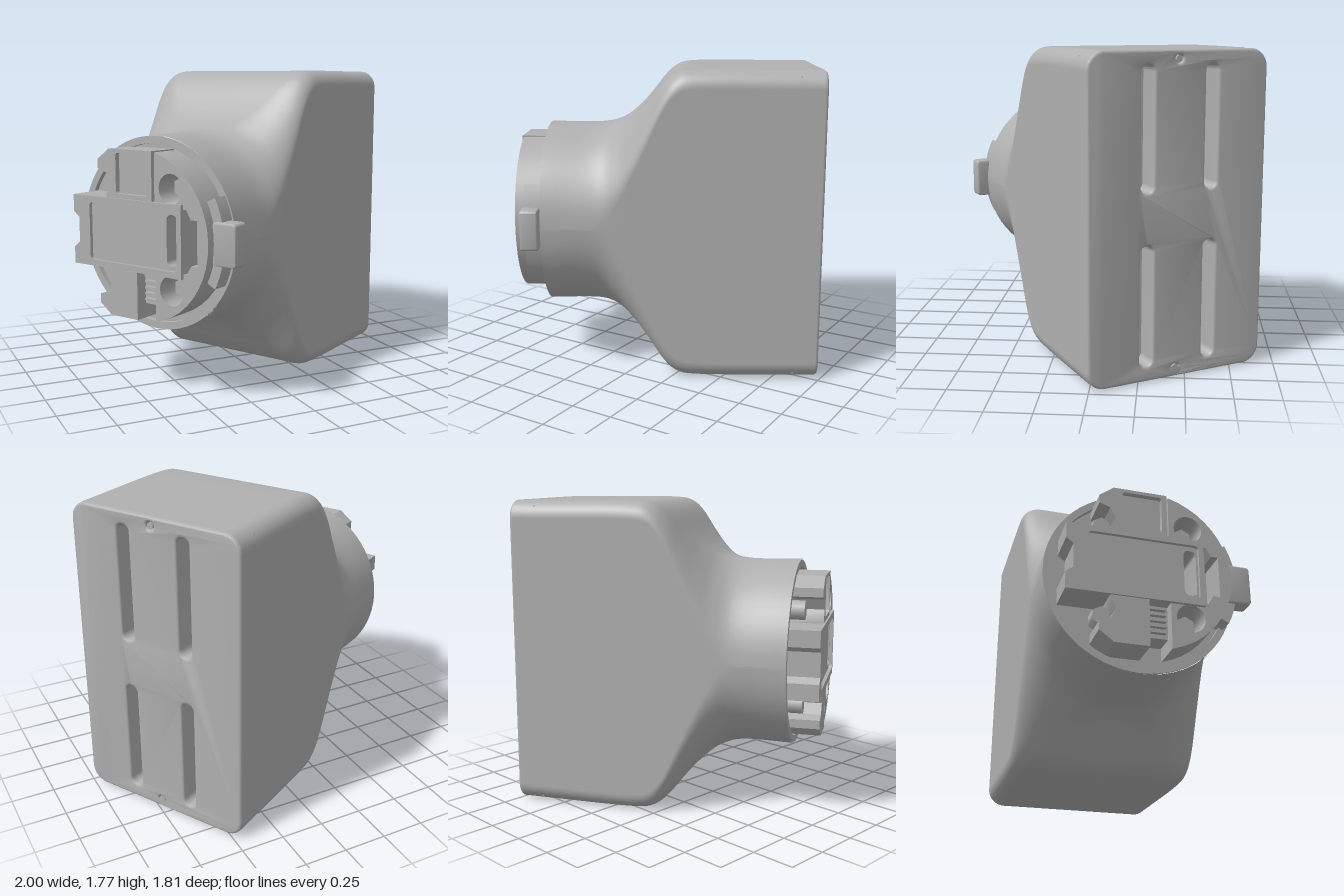
import * as THREE from 'three';
import { toCreasedNormals } from 'three/addons/utils/BufferGeometryUtils.js';

const grey = new THREE.MeshStandardMaterial({ color: 0xb0b0b0 });
grey.name = 'plain grey';

function add(parent, name, geometry, x = 0, y = 0, z = 0) {
  const mesh = new THREE.Mesh(geometry, grey);
  mesh.name = name;
  mesh.position.set(x, y, z);
  parent.add(mesh);
  return mesh;
}

// Rounded rectangle outline, usable as a shape or as a hole
function roundRect(cx, cy, hw, hh, r, Type = THREE.Shape) {
  const p = new Type();
  p.absarc(cx + hw - r, cy + hh - r, r, 0, Math.PI / 2);
  p.absarc(cx - hw + r, cy + hh - r, r, Math.PI / 2, Math.PI);
  p.absarc(cx - hw + r, cy - hh + r, r, Math.PI, Math.PI * 1.5);
  p.absarc(cx + hw - r, cy - hh + r, r, Math.PI * 1.5, Math.PI * 2);
  p.closePath();
  return p;
}

function circle(x, y, r) {
  const p = new THREE.Path();
  p.absarc(x, y, r, 0, Math.PI * 2);
  return p;
}

// Extrusion whose total span runs from z0 to z1, bevel included
function slab(shape, z0, z1, bevel = 0) {
  const g = new THREE.ExtrudeGeometry(shape, {
    depth: z1 - z0 - 2 * bevel, curveSegments: 10, bevelEnabled: bevel > 0,
    bevelThickness: bevel, bevelSize: bevel, bevelOffset: -bevel, bevelSegments: 3,
  });
  g.translate(0, 0, z0 + bevel);
  return toCreasedNormals(g, 0.6);
}

// Round neck blending into a rounded box: stations are distance, half height, corner radius
function bodyGeometry() {
  const stations = [
    [-0.71, 0.54, 0.53], [-0.4, 0.54, 0.53], [-0.29, 0.555, 0.43], [-0.2, 0.61, 0.32],
    [-0.12, 0.69, 0.23], [-0.03, 0.8, 0.15], [0.02, 0.845, 0.12], [0.07, 0.87, 0.105],
    [0.13, 0.88, 0.1], [0.85, 0.88, 0.1],
  ].map((p) => new THREE.Vector3(...p));
  const rows = new THREE.CatmullRomCurve3(stations).getPoints(72);
  const arc = 14, n = 4 * (arc + 1), W = 0.533;
  const pos = [], index = [];
  rows.forEach(({ x: s, y: h, z: r }, i) => {
    for (let q = 0; q < 4; q++) {
      const sx = q === 0 || q === 3 ? 1 : -1, sy = q < 2 ? 1 : -1;
      for (let k = 0; k <= arc; k++) {
        const a = (q + k / arc) * Math.PI / 2;
        pos.push(sx * (W - r) + r * Math.cos(a), sy * (h - r) + r * Math.sin(a), -s);
      }
    }
    if (i === 0) return;
    for (let j = 0; j < n; j++) {
      const a = (i - 1) * n + j, b = (i - 1) * n + (j + 1) % n;
      index.push(a, a + n, b, b, a + n, b + n);
    }
  });
  const g = new THREE.BufferGeometry();
  g.setAttribute('position', new THREE.Float32BufferAttribute(pos, 3));
  g.setIndex(index);
  g.computeVertexNormals();
  return g;
}

function addBackPlate(unit) {
  const shape = roundRect(0, 0, 0.531, 0.878, 0.1);
  for (const x of [-0.19, 0.19])
    for (const y of [-0.465, 0.475]) shape.holes.push(roundRect(x, y, 0.037, 0.33, 0.036, THREE.Path));
  for (const y of [-0.83, 0.83]) shape.holes.push(circle(0.01, y, 0.022));
  add(unit, 'backPlate', slab(shape, -0.865, -0.725, 0.015));
  add(unit, 'slotFloor', new THREE.BoxGeometry(1.02, 1.7, 0.01), 0, 0, -0.72);
  for (const y of [-0.83, 0.83]) {
    const screw = add(unit, 'backScrew', new THREE.CylinderGeometry(0.02, 0.02, 0.06, 6), 0.01, y, -0.83);
    screw.rotation.x = Math.PI / 2;
  }
}

function addMount(unit) {
  const mount = new THREE.Group();
  mount.name = 'frontMount';
  mount.position.y = 0.008;
  unit.add(mount);

  // Half-moon plate with two screw holes and a centre notch
  const moon = new THREE.Shape();
  moon.absarc(0, 0, 0.47, -1.31, 1.31);
  [[0.12, 0.17], [0.33, 0.17], [0.36, 0.12], [0.4, 0.12], [0.4, -0.12],
    [0.36, -0.12], [0.33, -0.17], [0.12, -0.17]].forEach(([x, y]) => moon.lineTo(x, y));
  moon.closePath();
  for (const y of [-0.27, 0.27]) moon.holes.push(circle(0.23, y, 0.08));
  add(mount, 'halfMoonPlate', slab(moon, 0.67, 0.86));

  // Centre block: notched frame around a recessed square panel
  const frame = new THREE.Shape([[-0.45, -0.195], [0.31, -0.195], [0.31, 0.195], [-0.45, 0.195],
    [-0.45, 0.1], [-0.41, 0.07], [-0.41, -0.07], [-0.45, -0.1]].map((p) => new THREE.Vector2(...p)));
  frame.holes.push(roundRect(-0.025, 0, 0.305, 0.16, 0.02, THREE.Path));
  add(mount, 'centreFrame', slab(frame, 0.67, 0.88));
  const panel = roundRect(-0.025, 0, 0.306, 0.161, 0.02);
  panel.holes.push(roundRect(0.235, 0, 0.035, 0.135, 0.03, THREE.Path));
  add(mount, 'centrePanel', slab(panel, 0.67, 0.86));

  // Upper and lower arms, the upper one wider and with a sunken face
  for (const side of [1, -1]) {
    const right = side > 0 ? 0.11 : 0;
    const pts = [[right, 0.18], [right, 0.46], [-0.19, 0.46], [-0.27, 0.4], [-0.27, 0.35],
      [-0.21, 0.33], [-0.18, 0.27], [-0.21, 0.21], [-0.21, 0.18]];
    const arm = new THREE.Shape(pts.map(([x, y]) => new THREE.Vector2(x, y * side)));
    if (side > 0) {
      arm.holes.push(roundRect(-0.03, 0.33, 0.11, 0.11, 0.015, THREE.Path));
      add(mount, 'upperArmFace', new THREE.BoxGeometry(0.23, 0.23, 0.17), -0.03, 0.33, 0.755);
    }
    add(mount, side > 0 ? 'upperArm' : 'lowerArm', slab(arm, 0.67, 0.87));
    for (const x of [-0.23, 0.23]) {
      const screw = add(mount, 'mountScrew', new THREE.CylinderGeometry(0.055, 0.055, 0.1, 6), x, 0.27 * side, 0.72);
      screw.rotation.x = Math.PI / 2;
    }
  }

  // Small pin connector beside the lower arm
  add(mount, 'connector', new THREE.BoxGeometry(0.12, 0.19, 0.13), 0.06, -0.285, 0.735);
  for (let i = 0; i < 5; i++)
    add(mount, 'connectorPin', new THREE.BoxGeometry(0.09, 0.012, 0.03), 0.06, -0.35 + i * 0.033, 0.81);

  // Curved latch with its finger tab
  const latch = new THREE.Shape();
  latch.absarc(0, 0, 0.525, -0.47, 0.47);
  latch.absarc(0, 0, 0.45, 0.47, -0.47, true);
  latch.closePath();
  add(mount, 'latch', slab(latch, 0.67, 0.8));
  add(mount, 'latchTab', slab(roundRect(0.53, 0, 0.073, 0.115, 0.02), 0.712, 0.812, 0.01));
}

export function createModel() {
  const model = new THREE.Group();
  model.name = 'housingUnit';
  // The unit is turned sixty degrees; its own +z points out of the neck
  const unit = new THREE.Group();
  unit.name = 'unit';
  unit.rotation.y = -Math.PI / 3;
  unit.position.set(-0.015, 0.88, -0.026);
  model.add(unit);

  const body = add(unit, 'body', bodyGeometry());
  body.geometry.computeBoundingSphere();

  // Neck rim with a shallow recess
  const rim = new THREE.LatheGeometry([[0.535, 0.7], [0.535, 0.71], [0.495, 0.71], [0.495, 0.68], [0, 0.68]]
    .map((p) => new THREE.Vector2(...p)), 64);
  rim.rotateX(Math.PI / 2);
  add(unit, 'neckRim', toCreasedNormals(rim, 0.6));

  addBackPlate(unit);
  addMount(unit);
  return model;
}
